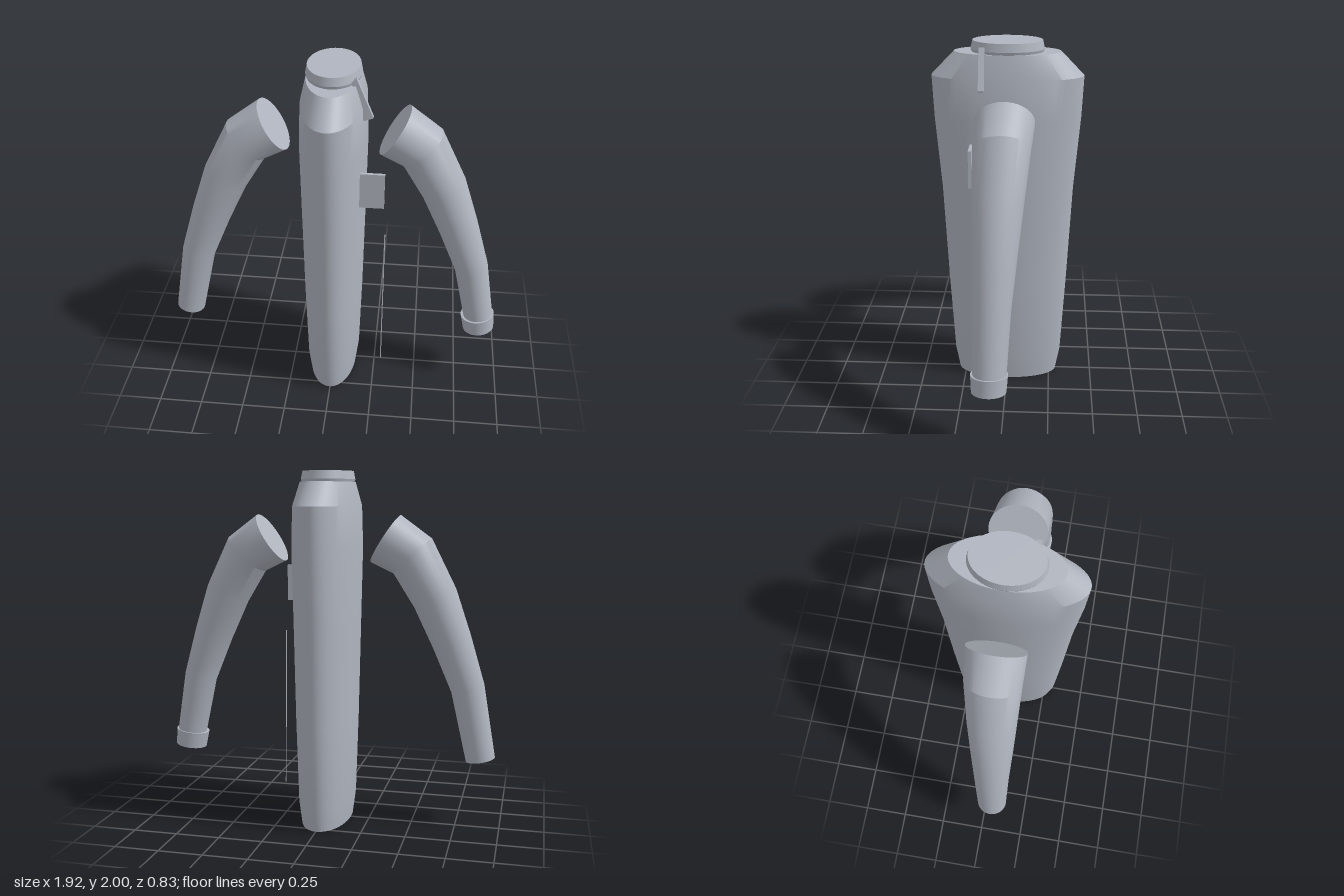
import * as THREE from 'three';
import { toCreasedNormals } from 'three/addons/utils/BufferGeometryUtils.js';

// Closed loft through elliptical rings { c: centre, u, v: half axes }, where u x v points back along the path
function loft(rings, sides) {
  const pos = [], index = [], last = (rings.length - 1) * sides;
  for (const { c, u, v } of rings) {
    for (let j = 0; j < sides; j++) {
      const t = (j / sides) * Math.PI * 2;
      const p = c.clone().addScaledVector(u, Math.cos(t)).addScaledVector(v, Math.sin(t));
      pos.push(p.x, p.y, p.z);
    }
  }
  const start = pos.length / 3, end = start + 1;
  pos.push(...rings[0].c.toArray(), ...rings[rings.length - 1].c.toArray());
  for (let j = 0; j < sides; j++) {
    const k = (j + 1) % sides;
    for (let i = 0; i < rings.length - 1; i++) {
      const a = i * sides + j, b = i * sides + k;
      index.push(a, a + sides, b, b, a + sides, b + sides);
    }
    index.push(start, j, k, end, last + k, last + j);
  }
  const g = new THREE.BufferGeometry();
  g.setAttribute('position', new THREE.Float32BufferAttribute(pos, 3));
  g.setIndex(index);
  return toCreasedNormals(g, 0.4);
}

// Upright loft from rows of [y, half width, half depth]
const upright = (rows) => loft(rows.map(([y, rx, rz]) => ({
  c: new THREE.Vector3(0, y, 0), u: new THREE.Vector3(rx, 0, 0), v: new THREE.Vector3(0, 0, rz),
})), 64);

// Bent tube from rows of [x, y, z, radius in plane, radius in z], with mitred joints
function bentTube(rows, side) {
  const pts = rows.map(([x, y]) => new THREE.Vector2(x * side, y));
  const dir = (i) => pts[i + 1].clone().sub(pts[i]).normalize();
  return loft(rows.map(([, , z, r, rz], i) => {
    const d = new THREE.Vector2();
    if (i > 0) d.add(dir(i - 1));
    if (i < rows.length - 1) d.add(dir(i));
    d.normalize();
    return {
      c: new THREE.Vector3(pts[i].x, pts[i].y, z),
      u: new THREE.Vector3(d.y * r, -d.x * r, 0),
      v: new THREE.Vector3(0, 0, rz),
    };
  }), 40);
}

export function createModel() {
  const model = new THREE.Group();
  model.name = 'coat';
  const cloth = new THREE.MeshStandardMaterial({ color: 0xb0b5bf });
  cloth.name = 'grey cloth';
  const add = (name, geometry, x = 0, y = 0, z = 0) => {
    const mesh = new THREE.Mesh(geometry, cloth);
    mesh.name = name;
    mesh.position.set(x, y, z);
    model.add(mesh);
    return mesh;
  };
  const midX = -0.004;

  // Body with sloping shoulders
  add('body', upright([
    [0, 0.138, 0.29], [0.135, 0.155, 0.315], [0.6, 0.168, 0.342], [1.17, 0.178, 0.37],
    [1.58, 0.184, 0.405], [1.81, 0.175, 0.416], [1.94, 0.145, 0.29],
  ]), midX);

  // Collar
  add('collar', upright([[1.91, 0.135, 0.185], [1.955, 0.149, 0.2], [2, 0.14, 0.19]]), midX);

  // Sleeves
  const sleeve = [
    [0.329, 1.63, 0, 0.154, 0.158], [0.48, 1.535, 0.007, 0.143, 0.15],
    [0.607, 1.303, 0.02, 0.127, 0.134], [0.704, 1.06, 0.032, 0.111, 0.118],
    [0.798, 0.795, 0.043, 0.095, 0.1], [0.878, 0.385, 0.053, 0.083, 0.085],
  ];
  add('leftSleeve', bentTube(sleeve, 1), midX);
  add('rightSleeve', bentTube(sleeve, -1), midX);

  // Cuff band on the left sleeve
  add('leftCuff', bentTube([[0.861, 0.458, 0.053, 0.098, 0.097], [0.874, 0.363, 0.055, 0.091, 0.091]], 1), midX);

  // Tapered collar flap
  const flap = new THREE.Shape([[0.098, 1.958], [0.156, 1.745], [0.214, 1.765], [0.125, 1.98]]
    .map(([x, y]) => new THREE.Vector2(x, y)));
  add('collarFlap', new THREE.ExtrudeGeometry(flap, { depth: 0.03, bevelEnabled: false }), 0, 0, 0.117);

  // Chest pocket
  add('chestPocket', new THREE.BoxGeometry(0.134, 0.208, 0.018), 0.219, 1.356, 0.189);

  // Thin front seam
  const seam = new THREE.LineCurve3(new THREE.Vector3(0.295, 0.135, 0.143), new THREE.Vector3(0.295, 1.07, 0.173));
  add('frontSeam', new THREE.TubeGeometry(seam, 1, 0.003, 8));

  return model;
}
